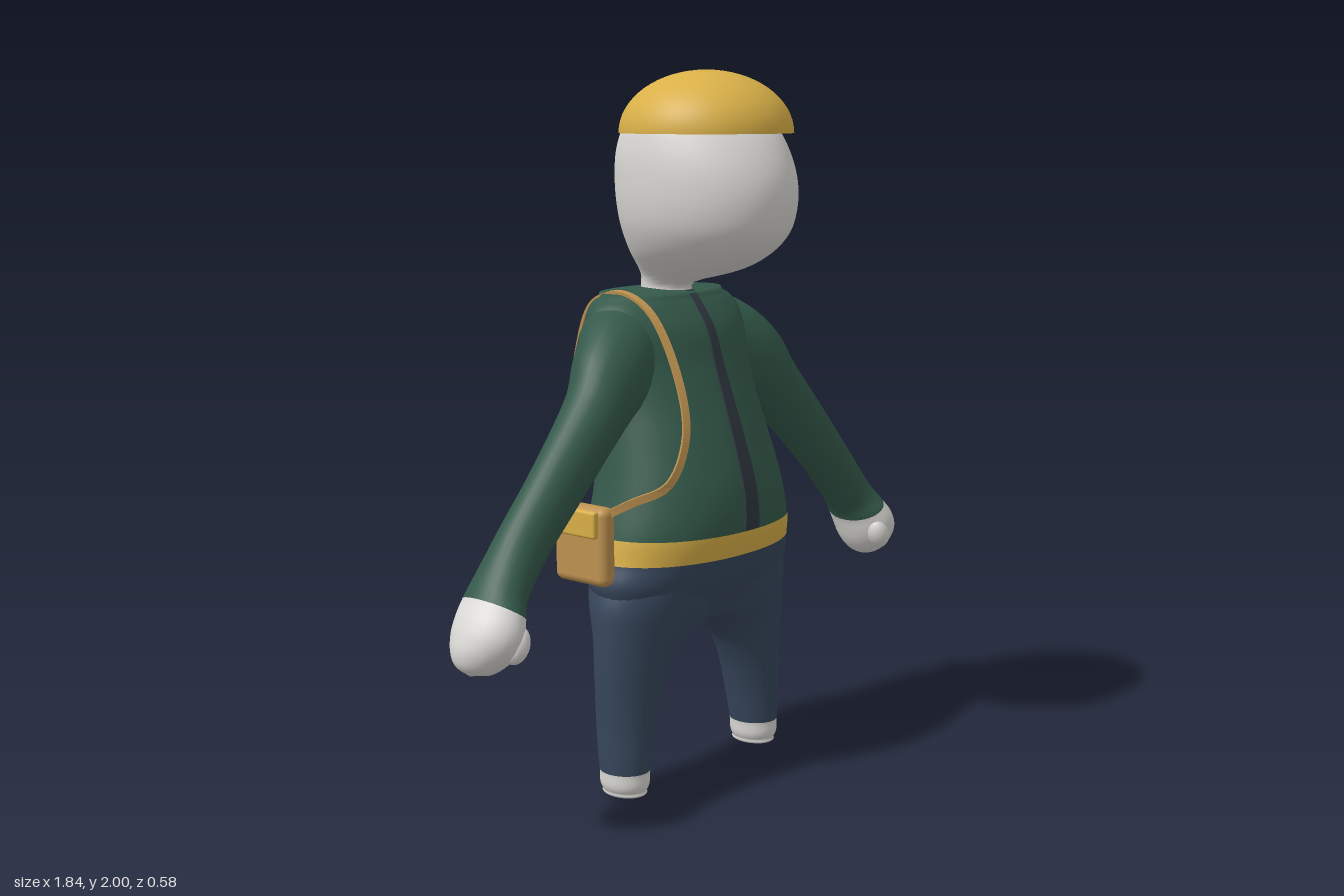
import * as THREE from 'three';
import { RoundedBoxGeometry } from 'three/addons/geometries/RoundedBoxGeometry.js';

const mat = (name, color) => new THREE.MeshStandardMaterial({ name, color });

// Closed skin over a list of rings that all have the same number of points
function skin(rings, flat = false) {
  const n = rings[0].length, pos = [], index = [];
  for (const ring of rings) for (const p of ring) pos.push(p.x, p.y, p.z);
  for (let r = 0; r < rings.length - 1; r++) {
    for (let k = 0; k < n; k++) {
      const a = r * n + k, b = r * n + (k + 1) % n;
      index.push(a, a + n, b, b, a + n, b + n);
    }
  }
  let g = new THREE.BufferGeometry();
  g.setAttribute('position', new THREE.Float32BufferAttribute(pos, 3));
  g.setIndex(index);
  if (flat) g = g.toNonIndexed();
  g.computeVertexNormals();
  return g;
}

// Smooth lookup through rows of [t, ...values]
function spline(rows) {
  const size = rows[0].length - 1;
  const curve = new THREE.CubicInterpolant(
    rows.map(r => r[0]), rows.flatMap(r => r.slice(1)), size, new Float32Array(size));
  return t => Array.from(curve.evaluate(t));
}

// Level cross-sections: rows of [y, xMin, xMax, zBack, zFront]
function levelLoft(rows, from, to, { power = 2, grow = 0, steps = 28, sides = 48 } = {}) {
  const at = spline(rows), rings = [];
  const pw = v => Math.sign(v) * Math.abs(v) ** (2 / power);
  for (let i = 0; i <= steps; i++) {
    const y = from + (to - from) * i / steps;
    const [x0, x1, z0, z1] = at(y);
    const a = Math.max(0, (x1 - x0) / 2 + grow), b = Math.max(0, (z1 - z0) / 2 + grow);
    rings.push(Array.from({ length: sides }, (_, k) => {
      const q = k / sides * Math.PI * 2;
      return new THREE.Vector3((x0 + x1) / 2 + a * pw(Math.cos(q)), y, (z0 + z1) / 2 + b * pw(Math.sin(q)));
    }));
  }
  return skin(rings);
}

// Limb sections across a path: rows of [t, x, y, z, halfAcross, halfDepth]
function limbLoft(rows, from, to, side, steps = 30, sides = 28) {
  const at = spline(rows), rings = [], last = rows.at(-1)[0];
  for (let i = 0; i <= steps; i++) {
    const t = from + (to - from) * i / steps;
    const [x, y, z, a, b] = at(t);
    const p = at(Math.max(0, t - 0.05)), q = at(Math.min(last, t + 0.05));
    const T = new THREE.Vector2(q[0] - p[0], q[1] - p[1]).normalize();
    const ring = Array.from({ length: sides }, (_, k) => {
      const w = k / sides * Math.PI * 2;
      const u = Math.max(0, a) * Math.cos(w), v = Math.max(0, b) * Math.sin(w);
      return new THREE.Vector3(side * (x + T.y * u), y - T.x * u, z + v);
    });
    rings.push(side < 0 ? ring.reverse() : ring);
  }
  return skin(rings);
}

// Flat band: list of { p, along, out, half } with a given half thickness
function band(stations, thick) {
  return skin(stations.map(({ p, along, out, half }) => {
    const s = along.clone().cross(out).normalize(), o = s.clone().cross(along).normalize();
    return [[1, -1], [1, 1], [-1, 1], [-1, -1]].map(([i, j]) =>
      p.clone().addScaledVector(s, i * half).addScaledVector(o, j * thick));
  }), true);
}

export function createModel() {
  const green = mat('jacket green', 0x34594a), navy = mat('trouser navy', 0x37475c);
  const gold = mat('gold', 0xd9b048), pale = mat('pale skin', 0xdad8d4);
  const tan = mat('tan leather', 0xbd9150), dark = mat('zip grey', 0x2f3640);
  const group = new THREE.Group();
  const add = (name, geo, m) => {
    const mesh = new THREE.Mesh(geo, m);
    mesh.name = name;
    group.add(mesh);
    return mesh;
  };

  // Trunk profile: y, half width, back z, front z
  const trunk = [
    [0.445, 0, -0.04, -0.04], [0.46, 0.15, -0.1, 0.03], [0.5, 0.28, -0.145, 0.075],
    [0.6, 0.368, -0.218, 0.138], [0.68, 0.35, -0.266, 0.17], [0.745, 0.338, -0.272, 0.183],
    [0.85, 0.308, -0.265, 0.178], [1.0, 0.278, -0.27, 0.135], [1.1, 0.264, -0.28, 0.1],
    [1.2, 0.265, -0.285, 0.065], [1.3, 0.28, -0.286, 0.032], [1.35, 0.268, -0.276, 0],
    [1.385, 0.22, -0.258, -0.03], [1.4, 0.16, -0.235, -0.055], [1.405, 0, -0.14, -0.14],
  ].map(([y, a, z0, z1]) => [y, -a, a, z0, z1]);
  add('jacket', levelLoft(trunk, 0.74, 1.405, { power: 2.15, steps: 60 }), green);
  add('belt', levelLoft(trunk, 0.675, 0.744, { power: 2.15, grow: 0.003, steps: 8 }), gold);
  add('trouserSeat', levelLoft(trunk, 0.445, 0.68, { power: 2.15 }), navy);

  // Zip down the front, widening toward the belt
  const trunkAt = spline(trunk);
  add('zip', band(Array.from({ length: 31 }, (_, i) => {
    const f = i / 30, y = 0.745 + 0.653 * f;
    return {
      p: new THREE.Vector3(0, y, trunkAt(y)[3]), half: 0.03 - 0.017 * f,
      along: new THREE.Vector3(0, 1, 0), out: new THREE.Vector3(0, 0, 1),
    };
  }), 0.0045), dark);

  // Head and neck
  const head = [
    [1.37, 0.07, -0.2, -0.04], [1.42, 0.07, -0.2, -0.035], [1.435, 0.082, -0.2, 0.03],
    [1.46, 0.115, -0.205, 0.125], [1.5, 0.16, -0.217, 0.205], [1.55, 0.195, -0.23, 0.258],
    [1.6, 0.215, -0.24, 0.28], [1.7, 0.228, -0.248, 0.284], [1.8, 0.221, -0.236, 0.245],
    [1.86, 0.2, -0.205, 0.2], [1.92, 0.13, -0.13, 0.14], [1.95, 0, 0.01, 0.01],
  ].map(([y, a, z0, z1]) => [y, -a, a, z0, z1]);
  add('head', levelLoft(head, 1.37, 1.95, { steps: 50 }), pale);

  // Domed cap with a flat underside
  const dome = new THREE.SphereGeometry(0.24, 48, 16, 0, Math.PI * 2, 0, Math.PI / 2);
  add('cap', dome.scale(1, 0.17 / 0.24, 1).translate(0, 1.83, 0.02), gold);
  add('capUnderside', new THREE.CircleGeometry(0.24, 48).rotateX(Math.PI / 2).translate(0, 1.83, 0.02), gold);

  const leg = [
    [0.003, 0.29, 0.29, -0.035, -0.035], [0.007, 0.255, 0.325, -0.08, 0.01],
    [0.025, 0.234, 0.347, -0.1, 0.032], [0.08, 0.223, 0.357, -0.108, 0.04],
    [0.2, 0.198, 0.363, -0.12, 0.046], [0.3, 0.165, 0.37, -0.125, 0.052],
    [0.38, 0.118, 0.375, -0.132, 0.06], [0.43, 0.06, 0.376, -0.142, 0.07],
    [0.47, -0.02, 0.376, -0.158, 0.085], [0.55, -0.08, 0.373, -0.19, 0.108],
    [0.62, -0.08, 0.352, -0.215, 0.12],
  ];
  const arm = [
    [0, 0.1, 1.26, -0.13, 0.1, 0.1], [1, 0.2, 1.235, -0.12, 0.135, 0.125],
    [2, 0.3, 1.175, -0.075, 0.122, 0.105], [3, 0.385, 1.09, -0.05, 0.095, 0.085],
    [4, 0.55, 0.925, -0.035, 0.083, 0.07], [5, 0.675, 0.795, -0.033, 0.075, 0.07],
    [6, 0.76, 0.697, -0.028, 0.067, 0.083], [7, 0.795, 0.65, -0.018, 0.067, 0.1],
    [8, 0.82, 0.61, -0.01, 0.074, 0.106], [9, 0.84, 0.57, -0.01, 0.075, 0.1],
    [10, 0.86, 0.535, -0.015, 0.066, 0.078], [11, 0.875, 0.508, -0.02, 0.042, 0.048],
    [12, 0.881, 0.494, -0.02, 0, 0],
  ];

  // Legs, feet, sleeves and hands on both sides
  for (const [label, side] of [['left', 1], ['right', -1]]) {
    const rows = side > 0 ? leg : leg.map(([y, x0, x1, z0, z1]) => [y, -x1, -x0, z0, z1]);
    add(label + 'TrouserLeg', levelLoft(rows, 0.08, 0.62, { steps: 40 }), navy);
    add(label + 'Foot', levelLoft(rows, 0.003, 0.08), pale);
    add(label + 'Sleeve', limbLoft(arm, 0, 7, side, 50), green);
    add(label + 'Hand', limbLoft(arm, 7, 12, side), pale);
    const thumb = add(label + 'Thumb', new THREE.SphereGeometry(1, 20, 14), pale);
    thumb.scale.set(0.034, 0.05, 0.036);
    thumb.position.set(side * 0.8, 0.572, 0.064);
    thumb.rotation.z = side * 0.4;
  }

  // Shoulder bag with flap
  add('bag', new RoundedBoxGeometry(0.056, 0.22, 0.19, 4, 0.024).translate(-0.372, 0.73, -0.1), tan);
  add('bagFlap', new RoundedBoxGeometry(0.022, 0.075, 0.15, 3, 0.008).translate(-0.406, 0.795, -0.1), gold);

  // Strap looping over the shoulder
  const path = new THREE.CatmullRomCurve3([
    [-0.37, 0.82, -0.02], [-0.345, 0.858, 0.05], [-0.285, 0.905, 0.125], [-0.23, 1.03, 0.14],
    [-0.205, 1.2, 0.085], [-0.2, 1.355, -0.015], [-0.2, 1.4, -0.12], [-0.2, 1.365, -0.225],
    [-0.21, 1.2, -0.28], [-0.23, 1.03, -0.28], [-0.28, 0.92, -0.25], [-0.35, 0.86, -0.195],
    [-0.37, 0.82, -0.17],
  ].map(p => new THREE.Vector3(...p)));
  add('bagStrap', band(Array.from({ length: 81 }, (_, i) => {
    const p = path.getPointAt(i / 80);
    return {
      p, half: 0.011, along: path.getTangentAt(i / 80),
      out: new THREE.Vector3(p.x * 0.3, Math.max(0, p.y - 1.2) * 3, p.z + 0.08),
    };
  }), 0.004), tan);

  return group;
}
